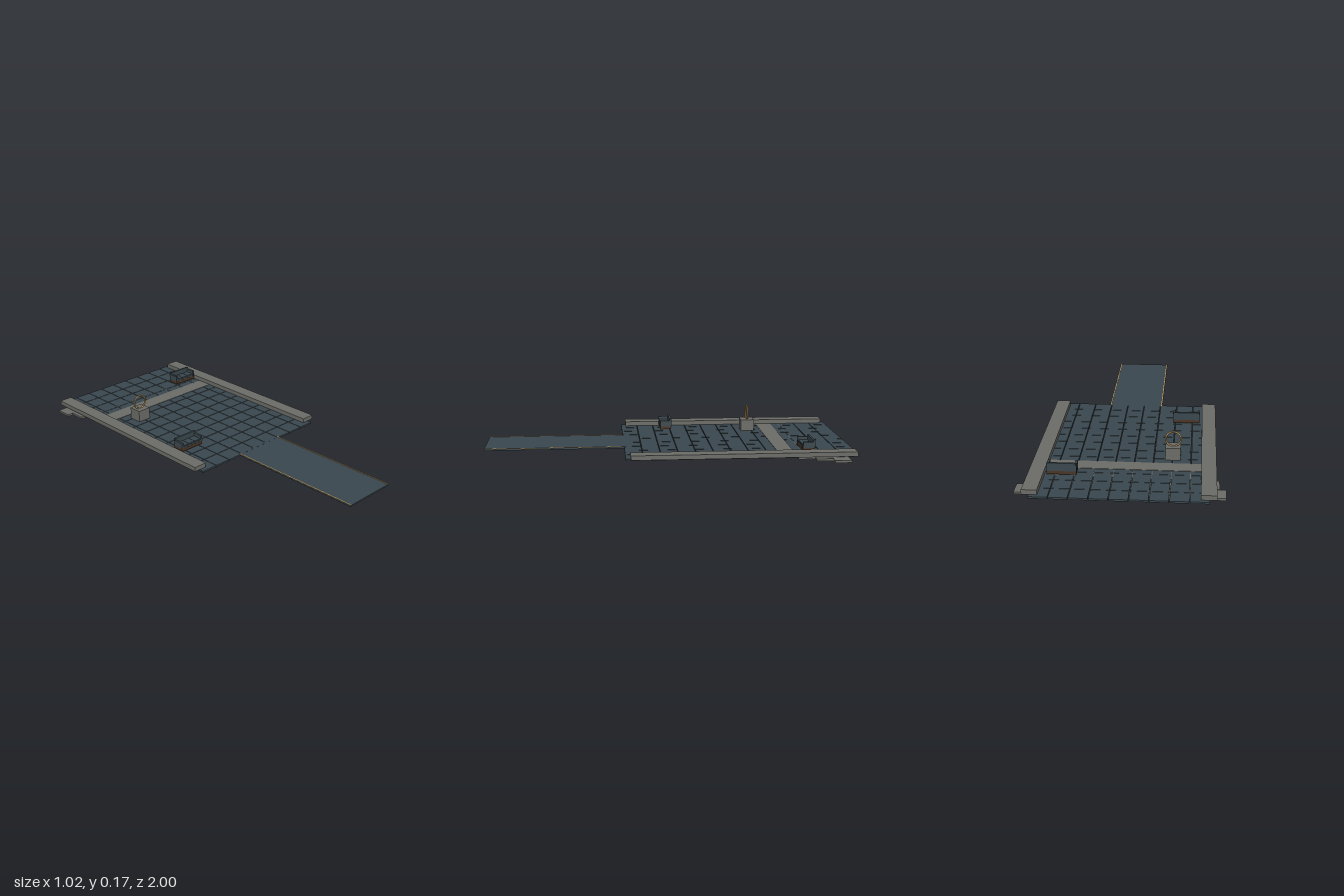
import * as THREE from 'three';

const mat = (name, color) => {
  const m = new THREE.MeshStandardMaterial({ color });
  m.name = name;
  return m;
};

export function createModel() {
  const slate = mat('slate', 0x3a474e);
  const stone = mat('stone', 0x6b6b67);
  const gold = mat('gold', 0xc09a5c);
  const wood = mat('wood', 0x4a3423);
  const root = new THREE.Group();
  root.name = 'courtyard';

  // Box given by its minimum and maximum corners
  const box = (parent, name, material, x0, x1, y0, y1, z0, z1) => {
    const mesh = new THREE.Mesh(new THREE.BoxGeometry(x1 - x0, y1 - y0, z1 - z0), material);
    mesh.position.set((x0 + x1) / 2, (y0 + y1) / 2, (z0 + z1) / 2);
    mesh.name = name;
    parent.add(mesh);
    return mesh;
  };

  // Paved floor: square slabs with narrow open joints
  const floor = new THREE.Group();
  floor.name = 'floor';
  root.add(floor);
  const cols = 9, rows = 13, pitch = 0.0955, gap = 0.0035;
  for (let i = 0; i < cols; i++) {
    for (let j = 0; j < rows; j++) {
      const x = (i - cols / 2) * pitch, z = -1 + j * pitch;
      box(floor, 'floorTile', slate, x + gap / 2, x + pitch - gap / 2, 0.011, 0.0205,
        z + (j ? gap / 2 : 0), z + pitch - gap / 2);
    }
  }

  // Entrance walkway with a thin trim on each edge
  box(root, 'walkway', slate, -0.154, 0.154, 0.012, 0.02, 0.23, 1);
  for (const s of [-1, 1]) {
    box(root, 'walkwayTrim', gold, s * 0.15 - 0.003, s * 0.15 + 0.003, 0.019, 0.0215, 0.23, 1);
  }

  // Low side walls
  for (const s of [-1, 1]) {
    box(root, 'sideWall', stone, s * 0.425 - 0.038, s * 0.425 + 0.038, 0.0215, 0.046, -0.98, 0.215);
  }

  // Steps going down and widening toward the back
  for (let i = 0; i < 4; i++) {
    const half = 0.415 + i * 0.031, top = 0.0225 - i * 0.0035, z = -0.577 - i * 0.09;
    box(root, 'step', stone, -half, half, top - 0.012, top, z - 0.09, z);
  }

  // Pedestal carrying an upright ring
  box(root, 'pedestal', stone, -0.28, -0.202, 0.02, 0.086, -0.537, -0.46);
  const ring = new THREE.Mesh(new THREE.TorusGeometry(0.039, 0.0045, 10, 40), gold);
  ring.position.set(-0.241, 0.123, -0.498);
  ring.name = 'ring';
  root.add(ring);

  // Sofas facing the front
  const addSofa = (x, z) => {
    const sofa = new THREE.Group();
    sofa.name = 'sofa';
    sofa.position.set(x, 0, z);
    root.add(sofa);
    box(sofa, 'sofaBase', wood, -0.074, 0.074, 0.032, 0.049, -0.032, 0.032);
    box(sofa, 'sofaSeat', slate, -0.072, 0.072, 0.049, 0.058, -0.032, 0.031);
    box(sofa, 'sofaBack', slate, -0.072, 0.072, 0.058, 0.092, -0.034, -0.022);
    for (const s of [-1, 1]) {
      box(sofa, 'sofaArm', slate, s * 0.069 - 0.006, s * 0.069 + 0.006, 0.049, 0.082, -0.033, 0.032);
    }
    for (let i = -1; i <= 1; i++) {
      box(sofa, 'sofaCushion', slate, i * 0.042 - 0.02, i * 0.042 + 0.02, 0.058, 0.064, -0.021, 0.029);
    }
  };
  addSofa(-0.3, -0.017);
  addSofa(0.3, -0.737);

  return root;
}
